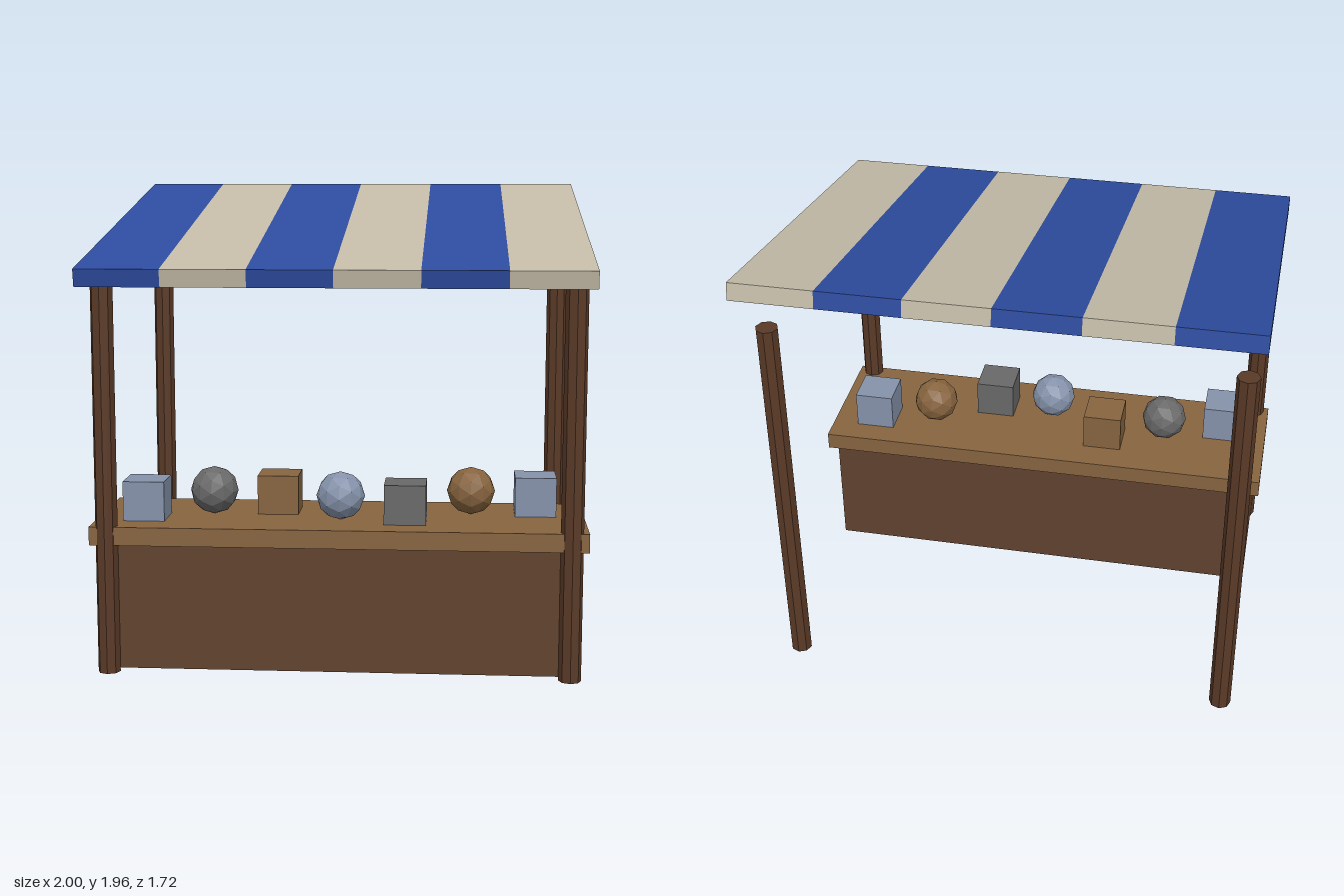
import * as THREE from 'three';

const paint = (name, color) => {
  const m = new THREE.MeshStandardMaterial({ color });
  m.name = name;
  return m;
};

export function createModel() {
  const blue = paint('awning blue', 0x2d4c9e);
  const cream = paint('awning cream', 0xc4bca8);
  const postWood = paint('post wood', 0x5a3a27);
  const baseWood = paint('base wood', 0x60422e);
  const topWood = paint('light wood', 0x87643f);
  const steel = paint('pale steel', 0x8592aa);
  const grey = paint('grey', 0x696969);
  // faceted versions for the round goods
  const facets = new Map([steel, grey, topWood].map((m) => {
    const f = m;
    return [m, f];
  }));

  const stall = new THREE.Group();
  stall.name = 'marketStall';

  const add = (name, geometry, material, x, y, z, parent = stall) => {
    const mesh = new THREE.Mesh(geometry, material);
    mesh.name = name;
    mesh.position.set(x, y, z);
    parent.add(mesh);
    return mesh;
  };

  // Counter: closed base with an overhanging top
  add('counterBase', new THREE.BoxGeometry(1.927, 0.517, 0.533), baseWood, 0, 0.273, 0.4);
  add('counterTop', new THREE.BoxGeometry(2, 0.075, 0.593), topWood, 0, 0.568, 0.4);

  // Four octagonal posts, all of one height
  const postGeometry = new THREE.CylinderGeometry(0.0455, 0.0455, 1.667, 8).toNonIndexed();
  postGeometry.computeVertexNormals();
  for (const x of [-0.933, 0.933]) {
    for (const z of [-0.667, 0.667]) {
      add(z > 0 ? 'frontPost' : 'backPost', postGeometry, postWood, x, 0.8335, z);
    }
  }

  // Sloping awning of six striped panels, low at the front
  const awning = new THREE.Group();
  awning.name = 'awning';
  awning.position.y = 1.771;
  awning.rotation.x = 0.182;
  stall.add(awning);
  const panel = new THREE.BoxGeometry(1 / 3, 0.071, 1.733);
  for (let i = 0; i < 6; i++) {
    add('awningStripe', panel, i % 2 ? cream : blue, (i - 2.5) / 3, 0, 0, awning);
  }

  // Goods on the counter, alternating crates and balls
  const crate = new THREE.BoxGeometry(0.17, 0.17, 0.17);
  const ball = new THREE.IcosahedronGeometry(0.1, 1);
  ball.computeVertexNormals(); // unshared corners, so each facet is flat
  const goods = [
    [steel, 0.485], [grey, 0.393], [topWood, 0.32], [steel, 0.477],
    [grey, 0.493], [topWood, 0.338], [steel, 0.297],
  ];
  goods.forEach(([material, z], i) => {
    const x = (i - 3) * 0.2667;
    if (i % 2) add('ball', ball, facets.get(material), x, 0.705, z);
    else add('crate', crate, material, x, 0.683, z);
  });

  return stall;
}
